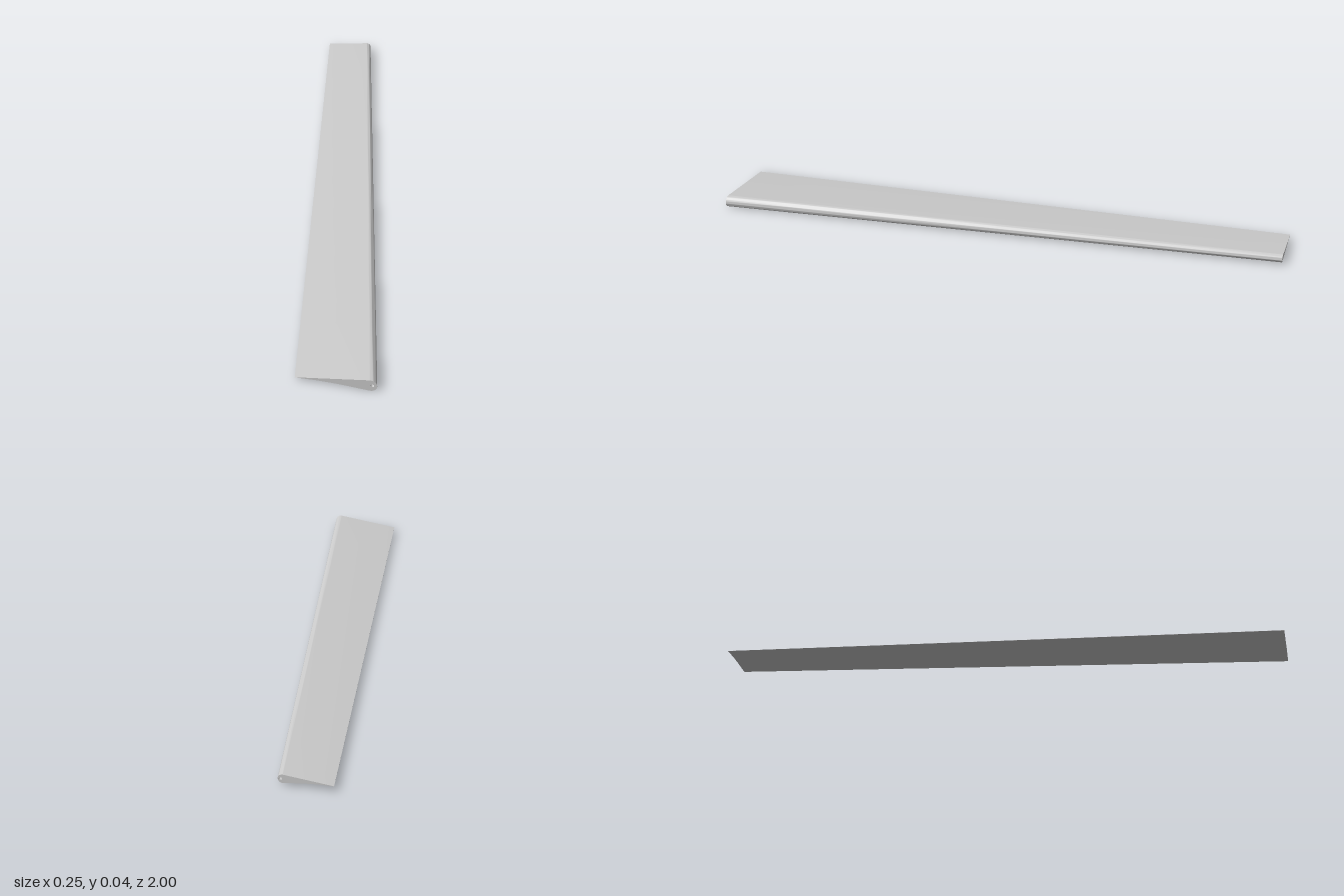
import * as THREE from 'three';
import { toCreasedNormals } from 'three/addons/utils/BufferGeometryUtils.js';

const R = 0.0212;                                   // nose radius at the wide end
const NOSE = { x: 0.1023, y: R };
const HOLE = { x: 0.109, y: 0.0218, r: 0.0054 };    // hinge pin bore
const TAIL = -0.1235, TIP = 0.1235;
const TAPER = 0.683;                                // size of the narrow end

// Teardrop section: straight top, round nose, slightly hollow underside
function section() {
  const pts = [new THREE.Vector2(TAIL, 0.0136)];
  const under = new THREE.CatmullRomCurve3([
    new THREE.Vector3(TAIL, 0.0130, 0),
    new THREE.Vector3(-0.06, 0.0130, 0),
    new THREE.Vector3(0.0, 0.0102, 0),
    new THREE.Vector3(NOSE.x - 0.002, 0.0001, 0),
  ]);
  under.getPoints(12).slice(0, -1).forEach(p => pts.push(new THREE.Vector2(p.x, p.y)));
  const a0 = -1.67, a1 = 1.69, n = 24;
  for (let i = 0; i <= n; i++) {
    const a = a0 + (a1 - a0) * i / n;
    pts.push(new THREE.Vector2(NOSE.x + R * Math.cos(a), NOSE.y + R * Math.sin(a)));
  }
  const shape = new THREE.Shape(pts);
  const bore = new THREE.Path();
  bore.absarc(HOLE.x, HOLE.y, HOLE.r, 0, Math.PI * 2, true);
  shape.holes.push(bore);
  return shape;
}

export function createModel() {
  const group = new THREE.Group();
  group.name = 'controlSurface';

  const geo = new THREE.ExtrudeGeometry(section(), {
    depth: 1, steps: 8, bevelEnabled: false, curveSegments: 10,
  });

  // Taper the section towards the back, keep the bore straight, slant both ends
  const pos = geo.attributes.position;
  for (let i = 0; i < pos.count; i++) {
    let x = pos.getX(i), y = pos.getY(i);
    const t = pos.getZ(i), k = 1 - t;
    const inBore = Math.hypot(x - HOLE.x, y - HOLE.y) < HOLE.r * 1.05;
    if (!inBore) {
      const u = (TIP - x) / (TIP - TAIL);
      const bx = 0.1162 + (x - TIP) * TAPER;
      const by = 0.0218 + (y - R) * TAPER + 0.003 * u;
      x += (bx - x) * k;
      y += (by - y) * k;
    }
    const front = 1 - 0.044 * (TIP - x) / (TIP - TAIL);
    const back = -1 + 0.025 * (x + 0.052) / 0.168;
    pos.setXYZ(i, x, y, back + (front - back) * t);
  }
  geo.deleteAttribute('uv');

  const blade = new THREE.Mesh(
    toCreasedNormals(geo, 0.6),
    new THREE.MeshStandardMaterial({ color: 0xcccccc }),
  );
  blade.name = 'taperedFlap';
  group.add(blade);
  return group;
}
